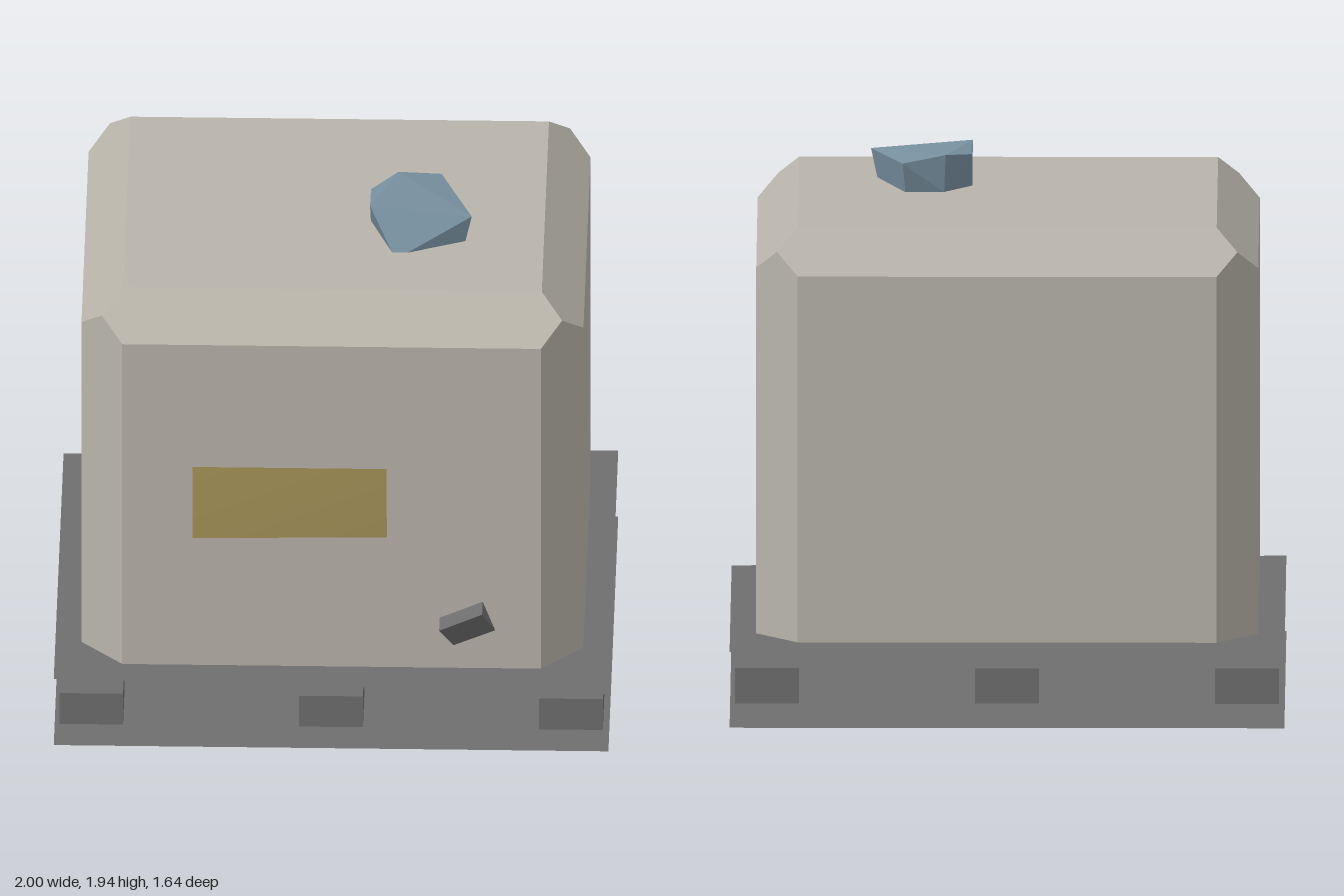
import * as THREE from 'three';
import { ConvexGeometry } from 'three/addons/geometries/ConvexGeometry.js';

export function createModel() {
  const model = new THREE.Group();
  model.name = 'crateOnPallet';

  const mat = (name, color, side = THREE.FrontSide) => {
    const m = new THREE.MeshStandardMaterial({ color, side });
    m.name = name;
    return m;
  };
  const wrap = mat('warmGrey', 0xb8b4aa);
  const grey = mat('darkGrey', 0x6e6e6e, THREE.DoubleSide);
  const stone = mat('slateBlue', 0x7890a0);
  const gold = mat('dullGold', 0xa8955a, THREE.DoubleSide);

  const add = (name, geometry, material) => {
    const mesh = new THREE.Mesh(geometry, material);
    mesh.name = name;
    model.add(mesh);
    return mesh;
  };
  // Faceted solid around a few corner points
  const hull = (points) => new ConvexGeometry(points.map((p) => new THREE.Vector3(...p)));

  // Body: bevelled on the upright and upper edges, flat below
  const bodyPoints = [];
  const X = 0.905, Z = 0.74, zMid = -0.01, bevel = 0.15;
  for (const sx of [-1, 1]) {
    for (const sz of [-1, 1]) {
      const corner = (inX, y, inZ) =>
        bodyPoints.push([sx * (X - inX), y, zMid + sz * (Z - inZ)]);
      for (const y of [0.3, 1.65]) {
        corner(bevel, y, 0);
        corner(0, y, bevel);
      }
      corner(bevel, 1.8, bevel);
      corner(0.075, 1.725, 0.075);
    }
  }
  add('body', hull(bodyPoints), wrap);

  // Pallet deck: thin, twisted board
  add('palletDeck', hull([
    [-1, 0.28, 0.805], [1, 0.24, 0.805], [1, 0.28, -0.82], [-1, 0.24, -0.82],
  ]), grey);

  // Pallet base sheet on the ground
  const base = add('palletBase', new THREE.PlaneGeometry(2, 1.625), grey);
  base.rotation.x = -Math.PI / 2;
  base.position.set(0, 0, -0.0075);

  // Pallet blocks: three along the front, three along the back
  const blockGeometry = new THREE.BoxGeometry(0.23, 0.13, 0.23);
  for (const x of [-0.865, 0, 0.865]) {
    for (const z of [-0.705, 0.69]) {
      add('palletBlock', blockGeometry, grey).position.set(x, 0.155, z);
    }
  }

  // Front plate: slightly warped sheet
  const plate = new THREE.PlaneGeometry(0.7, 0.3);
  plate.translate(-0.15, 1.02, 0.787);
  plate.attributes.position.setZ(3, 0.768);
  plate.computeVertexNormals();
  add('frontPlate', plate, gold);

  // Wedge-shaped tap low on the front
  add('frontTap', hull([
    [0.39, 0.51, 0.82], [0.545, 0.58, 0.82],
    [0.39, 0.51, 0.72], [0.545, 0.58, 0.72],
    [0.59, 0.46, 0.73], [0.44, 0.395, 0.73],
  ]), grey);

  // Faceted stone on the top
  add('topStone', hull([
    [0.128, 1.94, 0.23], [0.495, 1.907, 0.24], [0.225, 1.937, -0.015], [0.38, 1.912, -0.045],
    [0.128, 1.92, 0.08], [0.128, 1.8, 0.1], [0.21, 1.8, 0.32], [0.265, 1.8, 0.32],
    [0.472, 1.8, 0.235], [0.37, 1.8, -0.015], [0.23, 1.8, -0.01],
  ]), stone);

  return model;
}
